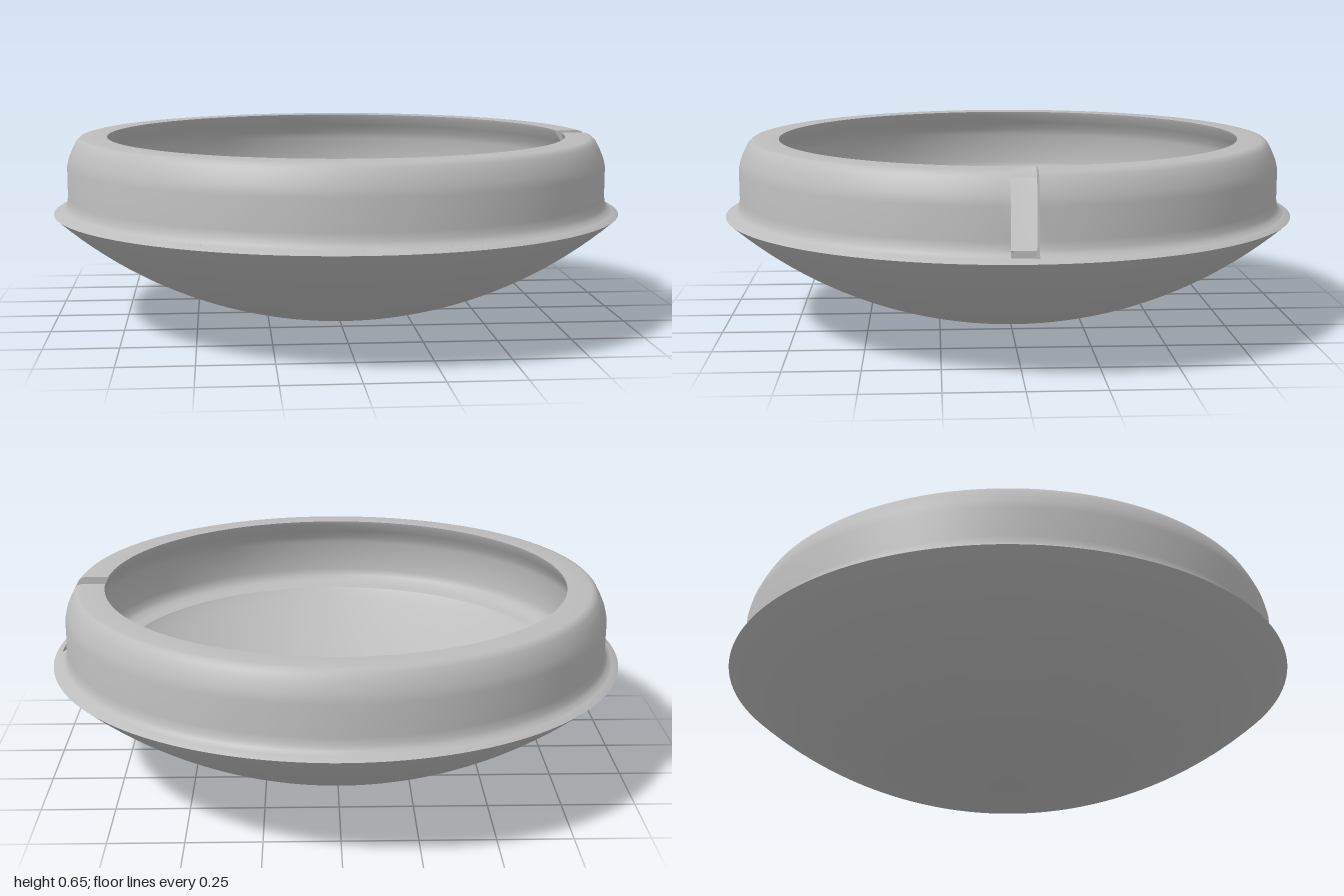
import * as THREE from 'three';
import { toCreasedNormals } from 'three/addons/utils/BufferGeometryUtils.js';

const SEGMENTS = 160;
const SLOT = 0.043;                        // half width of the slot
const SLOT_IN = 0.81, SLOT_OUT = 0.975;    // radial ends of the slot
const SLOT_Y = 0.365, LEDGE_Y = 0.388;     // slot floor and inner ledge heights
const FLANGE_Y = 0.398;                    // flange height at the slot's outer end

const toPoints = (list) => list.map(([r, y]) => new THREE.Vector2(r, y));

// Points on a bowl-shaped arc from radius a to radius b, lowest point at y0
function arc(R, y0, a, b, n) {
  return Array.from({ length: n + 1 }, (_, i) => {
    const r = a + (b - a) * i / n;
    return [r, y0 + R - Math.sqrt(R * R - r * r)];
  });
}

// Lathe whose ring is left open at +x, with parallel slot sides
function slottedLathe(points) {
  const geo = new THREE.LatheGeometry(points, SEGMENTS);
  const pos = geo.attributes.position, uv = geo.attributes.uv;
  for (let i = 0; i < pos.count; i++) {
    const r = Math.hypot(pos.getX(i), pos.getZ(i));
    const half = Math.asin(SLOT / r);
    const phi = Math.PI / 2 + half + uv.getX(i) * (2 * Math.PI - 2 * half);
    pos.setX(i, r * Math.sin(phi));
    pos.setZ(i, r * Math.cos(phi));
  }
  return geo;
}

export function createModel() {
  const group = new THREE.Group();
  const grey = new THREE.MeshStandardMaterial({ color: 0xbcbcbc, side: THREE.DoubleSide });
  grey.name = 'grey';

  const add = (name, geo) => {
    const mesh = new THREE.Mesh(geo, grey);
    mesh.name = name;
    group.add(mesh);
    return mesh;
  };
  const smooth = (geo) => toCreasedNormals(geo, 0.6);

  // Domed underside with its thin flange edge
  const dome = [...arc(1.491, 0, 0, 1, 28), [0.987, 0.393], [SLOT_OUT, FLANGE_Y]];
  add('dome', smooth(new THREE.LatheGeometry(toPoints(dome), SEGMENTS)));

  // Hollow dish floor and the inner part of the ledge round it
  const dish = [[SLOT_IN, LEDGE_Y], [0.775, 0.381], ...arc(1.29, 0.12, 0.768, 0, 20)];
  add('dish', smooth(new THREE.LatheGeometry(toPoints(dish), SEGMENTS)));

  // Upright ring: flange fillet, rounded shoulder, flat rim, undercut lip, inner ledge
  const wall = [
    [SLOT_OUT, FLANGE_Y], [0.962, 0.406], [0.954, 0.42], [0.95, 0.445], [0.95, 0.55],
    [0.943, 0.58], [0.93, 0.61], [0.917, 0.635], [0.905, 0.647], [0.893, 0.65],
    [0.81, 0.65], [0.814, 0.637], [0.835, 0.604], [0.853, 0.574], [0.86, 0.55],
    [0.86, 0.435], [0.853, 0.41], [0.838, 0.396], [SLOT_IN, LEDGE_Y],
  ];
  add('ringWall', smooth(slottedLathe(toPoints(wall))));

  // Side faces of the slot
  const section = [...wall, [SLOT_IN, SLOT_Y], [SLOT_OUT, SLOT_Y]]
    .map(([r, y]) => [Math.sqrt(r * r - SLOT * SLOT), y]);
  for (const side of [-1, 1]) {
    // the +z face is drawn mirrored, then turned to face the slot
    const outline = section.map(([x, y]) => [-side * x, y]);
    const cheek = add('slotSide', new THREE.ShapeGeometry(new THREE.Shape(toPoints(outline))));
    cheek.rotation.y = side > 0 ? Math.PI : 0;
    cheek.position.z = side * SLOT;
  }

  // Slot floor and its two shallow end walls
  const floor = add('slotFloor', new THREE.PlaneGeometry(SLOT_OUT - SLOT_IN, 2 * SLOT));
  floor.rotation.x = -Math.PI / 2;
  floor.position.set((SLOT_IN + SLOT_OUT) / 2, SLOT_Y, 0);
  for (const [x, top, turn] of [[SLOT_IN, LEDGE_Y, 1], [SLOT_OUT, FLANGE_Y, -1]]) {
    const end = add('slotEnd', new THREE.PlaneGeometry(2 * SLOT, top - SLOT_Y));
    end.rotation.y = turn * Math.PI / 2;
    end.position.set(x, (top + SLOT_Y) / 2, 0);
  }
  return group;
}
